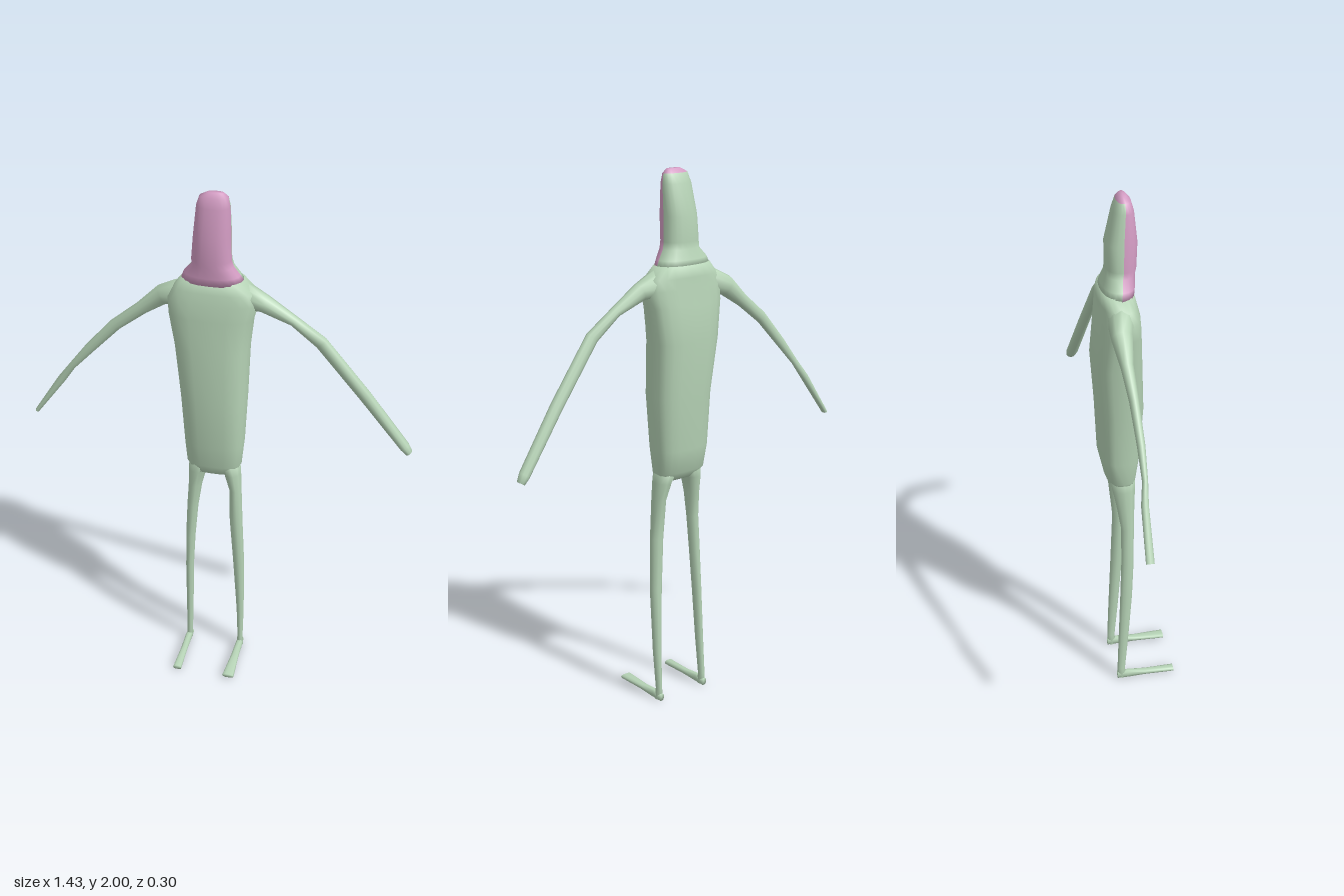
import * as THREE from 'three';

const green = new THREE.MeshStandardMaterial({ color: 0xb6d3b6 });
green.name = 'paleGreen';
const pink = new THREE.MeshStandardMaterial({ color: 0xd49dc4 });
pink.name = 'pink';

const V = (x, y, z) => new THREE.Vector3(x, y, z);

// Loft closed rings { c, a, b }; p < 1 makes a ring boxier. isPink(ring, angle) picks the second material.
function loft(name, rings, n = 16, p = 1, isPink = () => false) {
  const pos = [], sets = [[], []];
  const pw = (t) => Math.sign(t) * Math.pow(Math.abs(t), p);
  for (const { c, a, b } of rings) {
    for (let j = 0; j < n; j++) {
      const t = (j / n) * Math.PI * 2;
      const q = c.clone().addScaledVector(a, pw(Math.cos(t))).addScaledVector(b, pw(Math.sin(t)));
      pos.push(q.x, q.y, q.z);
    }
  }
  const last = rings.length - 1;
  const flip = rings[0].a.clone().cross(rings[0].b).dot(rings[1].c.clone().sub(rings[0].c)) < 0;
  const tri = (s, i, j, k) => sets[s].push(...(flip ? [i, k, j] : [i, j, k]));
  for (let i = 0; i < last; i++) {
    for (let j = 0; j < n; j++) {
      const k = (j + 1) % n, o = i * n, u = o + n;
      const s = isPink(i, ((j + 0.5) / n) * Math.PI * 2) ? 1 : 0;
      tri(s, o + j, o + k, u + k);
      tri(s, o + j, u + k, u + j);
    }
  }
  // End caps
  [0, last].forEach((r) => {
    const m = pos.length / 3, { c } = rings[r];
    pos.push(c.x, c.y, c.z);
    for (let j = 0; j < n; j++) {
      const k = (j + 1) % n, s = isPink(r, ((j + 0.5) / n) * Math.PI * 2) ? 1 : 0;
      if (r) tri(s, m, r * n + j, r * n + k);
      else tri(s, m, k, j);
    }
  });
  const g = new THREE.BufferGeometry();
  g.setAttribute('position', new THREE.Float32BufferAttribute(pos, 3));
  g.setIndex([...sets[0], ...sets[1]]);
  g.addGroup(0, sets[0].length, 0);
  g.addGroup(sets[0].length, sets[1].length, 1);
  g.computeVertexNormals();
  const mesh = new THREE.Mesh(g, [green, pink]);
  mesh.name = name;
  return mesh;
}

// Horizontal ring from its extents
const slab = ([y, x0, x1, z0, z1]) => ({
  c: V((x0 + x1) / 2, y, (z0 + z1) / 2),
  a: V((x1 - x0) / 2, 0, 0),
  b: V(0, 0, (z1 - z0) / 2),
});

// Arm rings [x, y, z, thickness, depth], turned square to the path in the xy plane
function armRings(list) {
  return list.map(([x, y, z, h, d], i) => {
    const q = list[Math.max(i - 1, 0)], r = list[Math.min(i + 1, list.length - 1)];
    const dir = V(r[0] - q[0], r[1] - q[1], 0).normalize();
    return { c: V(x, y, z), a: V(-dir.y, dir.x, 0).multiplyScalar(h / 2), b: V(0, 0, d / 2) };
  });
}

// Foot rings [z, x0, x1, y0, y1]
const footRing = ([z, x0, x1, y0, y1]) => ({
  c: V((x0 + x1) / 2, (y0 + y1) / 2, z),
  a: V((x1 - x0) / 2, 0, 0),
  b: V(0, (y1 - y0) / 2, 0),
});

export function createModel() {
  const model = new THREE.Group();
  model.name = 'slenderFigure';

  // Boxy torso from crotch to sloping shoulders
  model.add(loft('torso', [
    [0.875, -0.085, 0.075, -0.075, -0.005],
    [0.91, -0.108, 0.097, -0.105, 0.005],
    [1.0, -0.115, 0.105, -0.125, 0.02],
    [1.2, -0.127, 0.115, -0.133, 0.034],
    [1.4, -0.15, 0.12, -0.147, 0.026],
    [1.53, -0.172, 0.135, -0.133, 0.02],
    [1.59, -0.175, 0.15, -0.125, 0.015],
    [1.63, -0.155, 0.14, -0.122, 0.005],
    [1.672, -0.12, 0.098, -0.118, -0.005],
  ].map(slab), 20, 0.72));

  // Head and collar, pink in front and on the crown, green behind
  model.add(loft('headAndCollar', [
    [1.66, -0.128, 0.102, -0.119, 0.0],
    [1.69, -0.115, 0.085, -0.112, 0.004],
    [1.725, -0.085, 0.062, -0.1, 0.006],
    [1.75, -0.086, 0.055, -0.097, 0.01],
    [1.84, -0.078, 0.054, -0.097, 0.015],
    [1.95, -0.066, 0.052, -0.07, 0.004],
    [1.985, -0.054, 0.046, -0.056, -0.006],
    [2.0, -0.025, 0.03, -0.042, -0.02],
  ].map(slab), 20, 0.85, (ring, t) => ring >= 6 || Math.sin(t) > 0));

  // Arms
  model.add(loft('rightArm', armRings([
    [-0.1, 1.605, -0.06, 0.11, 0.1],
    [-0.2, 1.57, -0.075, 0.075, 0.075],
    [-0.28, 1.505, -0.075, 0.05, 0.045],
    [-0.38, 1.425, -0.072, 0.045, 0.033],
    [-0.48, 1.315, -0.07, 0.038, 0.028],
    [-0.555, 1.225, -0.073, 0.026, 0.02],
    [-0.6, 1.16, -0.083, 0.03, 0.026],
    [-0.708, 1.002, -0.088, 0.016, 0.03],
  ]), 10));
  model.add(loft('leftArm', armRings([
    [0.08, 1.615, -0.06, 0.11, 0.1],
    [0.17, 1.59, -0.055, 0.065, 0.065],
    [0.275, 1.535, -0.055, 0.036, 0.045],
    [0.375, 1.46, -0.055, 0.05, 0.038],
    [0.54, 1.25, -0.075, 0.047, 0.042],
    [0.69, 1.045, -0.097, 0.037, 0.045],
    [0.707, 1.02, -0.1, 0.026, 0.036],
  ]), 10));

  // Legs
  model.add(loft('rightLeg', [
    [0.93, -0.1, -0.005, -0.095, 0.0],
    [0.87, -0.104, -0.035, -0.088, -0.002],
    [0.8, -0.104, -0.052, -0.074, -0.006],
    [0.7, -0.109, -0.066, -0.058, -0.01],
    [0.55, -0.116, -0.079, -0.06, -0.013],
    [0.4, -0.119, -0.088, -0.066, -0.02],
    [0.2, -0.121, -0.094, -0.074, -0.036],
    [0.05, -0.123, -0.1, -0.08, -0.05],
    [0.005, -0.125, -0.1, -0.08, -0.046],
  ].map(slab), 10));
  model.add(loft('leftLeg', [
    [0.93, -0.005, 0.092, -0.095, 0.0],
    [0.87, 0.032, 0.097, -0.088, -0.002],
    [0.8, 0.053, 0.1, -0.074, -0.006],
    [0.65, 0.057, 0.107, -0.058, -0.01],
    [0.45, 0.07, 0.114, -0.064, -0.018],
    [0.2, 0.083, 0.112, -0.074, -0.036],
    [0.05, 0.086, 0.107, -0.08, -0.05],
    [0.005, 0.083, 0.11, -0.08, -0.046],
  ].map(slab), 10));

  // Flat thin feet pointing forward
  model.add(loft('rightFoot', [
    [-0.08, -0.124, -0.1, 0.0, 0.03],
    [-0.04, -0.126, -0.1, 0.0, 0.034],
    [0.03, -0.126, -0.1, 0.004, 0.025],
    [0.143, -0.13, -0.096, 0.004, 0.022],
  ].map(footRing), 10, 0.8));
  model.add(loft('leftFoot', [
    [-0.08, 0.084, 0.108, 0.0, 0.03],
    [-0.04, 0.083, 0.11, 0.0, 0.034],
    [0.03, 0.08, 0.111, 0.006, 0.026],
    [0.148, 0.072, 0.118, 0.008, 0.024],
  ].map(footRing), 10, 0.8));

  return model;
}
